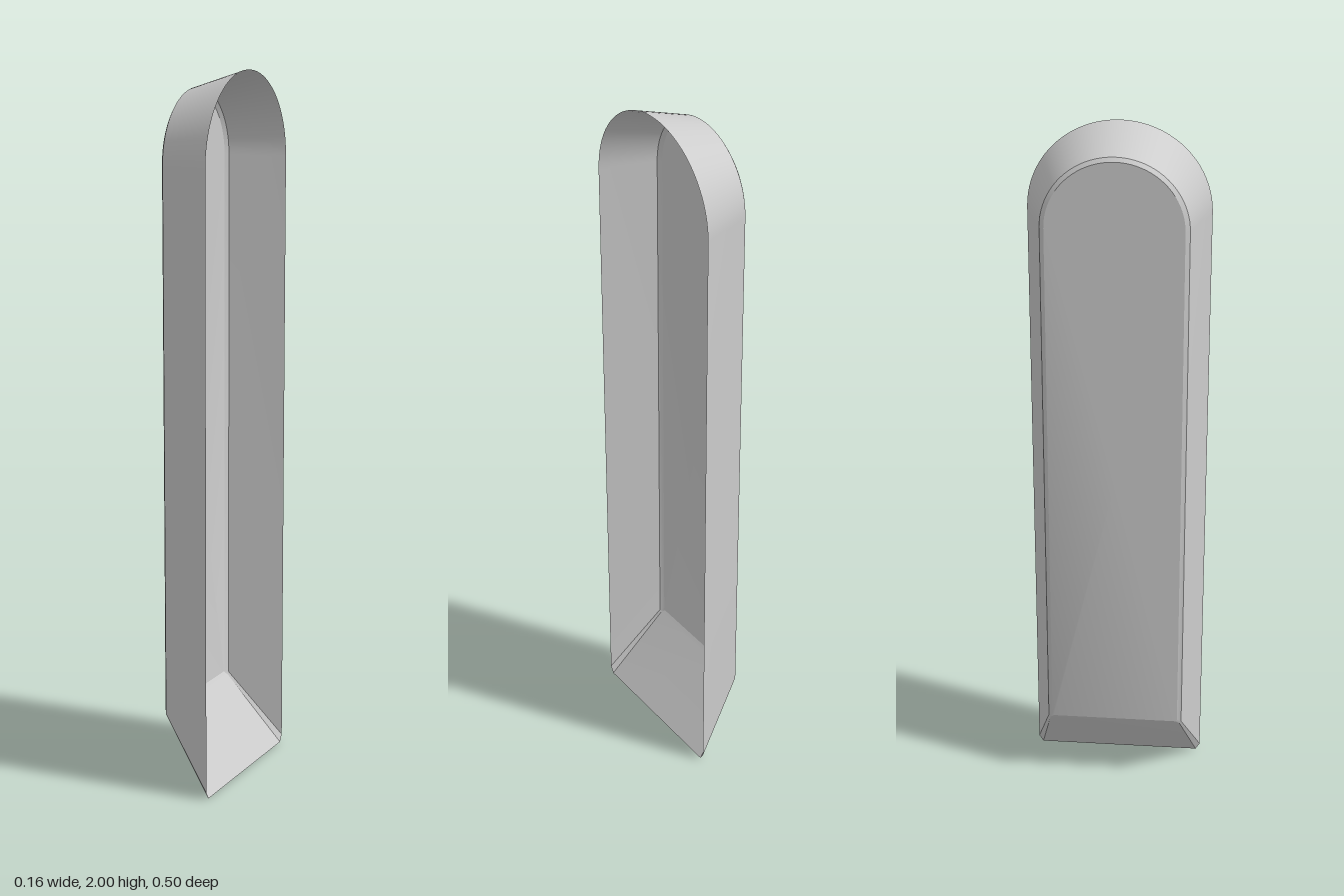
import * as THREE from 'three';
import { toCreasedNormals } from 'three/addons/utils/BufferGeometryUtils.js';

const ARC = 40; // segments in the rounded top

// Outline in the z-y plane: chamfered foot corners, straight sides, round top
function ring({ x, r, top, foot, chamfer }) {
  const cy = top - r;
  const pts = [[r - chamfer * 0.6, foot], [r, foot + chamfer]];
  for (let i = 0; i <= ARC; i++) {
    const a = (i / ARC) * Math.PI;
    pts.push([r * Math.cos(a), cy + r * Math.sin(a)]);
  }
  pts.push([-r, foot + chamfer], [-r + chamfer * 0.6, foot]);
  return pts.map(([z, y]) => new THREE.Vector3(x, y, z));
}

// Joins the outlines into a skin and closes the last one with a flat panel
function shell(rings) {
  const n = rings[0].length;
  const pos = [];
  const tri = (...v) => v.forEach((p) => pos.push(p.x, p.y, p.z));
  for (let k = 0; k < rings.length - 1; k++) {
    const a = rings[k], b = rings[k + 1];
    for (let i = 0; i < n; i++) {
      const j = (i + 1) % n;
      tri(a[i], a[j], b[i]);
      tri(a[j], b[j], b[i]);
    }
  }
  const last = rings[rings.length - 1];
  const centre = new THREE.Vector3(last[0].x, 1, 0);
  for (let i = 0; i < n; i++) tri(centre, last[i], last[(i + 1) % n]);
  const geo = new THREE.BufferGeometry();
  geo.setAttribute('position', new THREE.Float32BufferAttribute(pos, 3));
  return toCreasedNormals(geo, 0.5);
}

export function createModel() {
  const group = new THREE.Group();
  group.name = 'roundToppedShell';
  const material = new THREE.MeshStandardMaterial({ color: 0xcccccc, side: THREE.DoubleSide });

  // Open rim, end of the flared wall, then the narrow bevel around the panel
  const rings = [
    { x: 0.081, r: 0.248, top: 2, foot: 0, chamfer: 0.02 },
    { x: -0.073, r: 0.197, top: 1.951, foot: 0.203, chamfer: 0.008 },
    { x: -0.081, r: 0.185, top: 1.94, foot: 0.215, chamfer: 0.006 },
  ].map(ring);

  const body = new THREE.Mesh(shell(rings), material);
  body.name = 'shell';
  group.add(body);
  return group;
}
